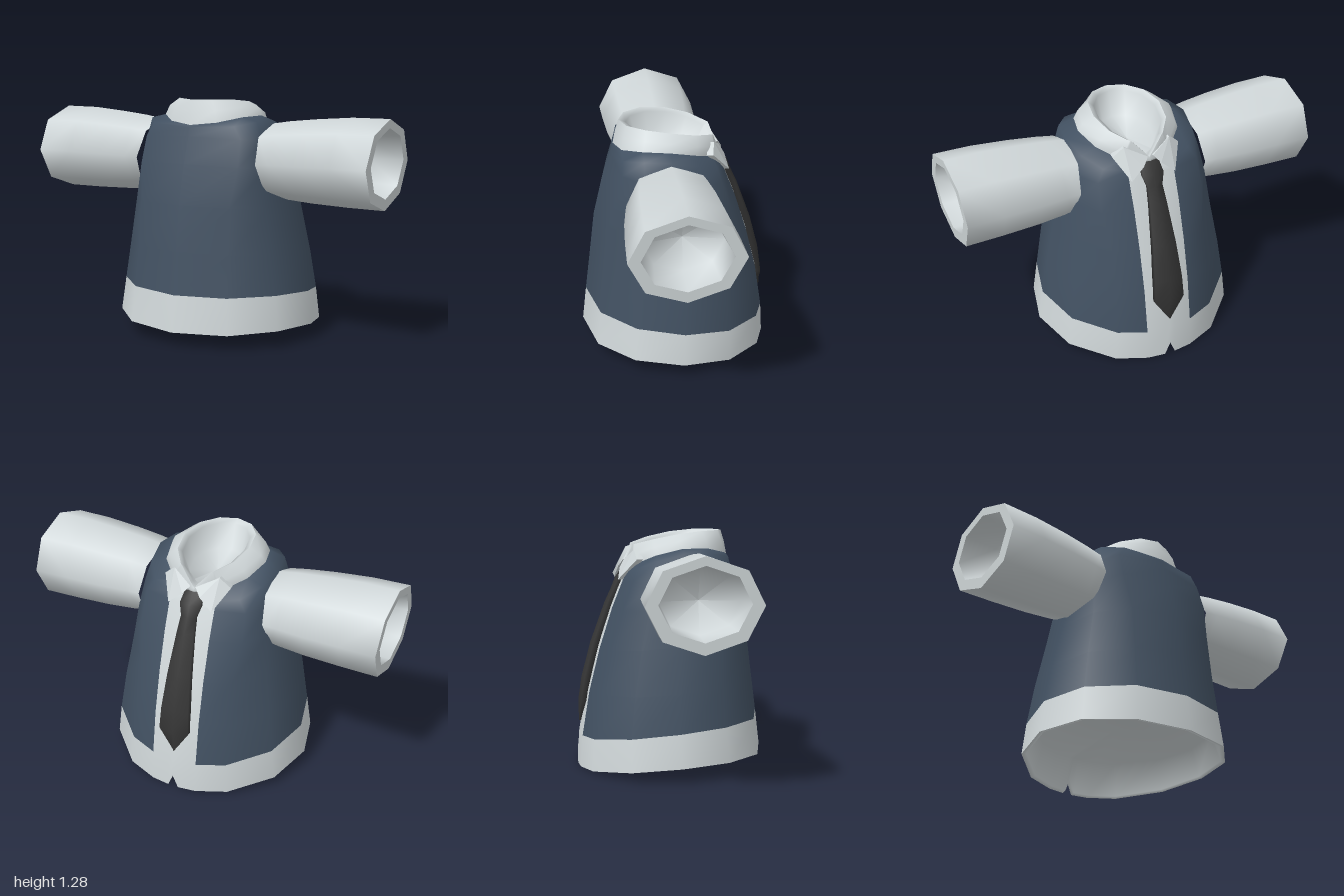
import * as THREE from 'three';
import { ConvexGeometry } from 'three/addons/geometries/ConvexGeometry.js';

const material = (name, color, side = THREE.FrontSide) =>
  Object.assign(new THREE.MeshStandardMaterial({ color, side }), { name });

// Skin closed rings of points; pick(row, column) chooses the material index.
function loft(rings, pick = () => 0, flip = false) {
  const n = rings[0].length, lists = [[], []], geo = new THREE.BufferGeometry();
  for (let i = 0; i < rings.length - 1; i++) {
    for (let j = 0; j < n; j++) {
      const a = i * n + j, b = i * n + (j + 1) % n, c = b + n, d = a + n;
      lists[pick(i, j)].push(...(flip ? [a, c, b, a, d, c] : [a, b, c, a, c, d]));
    }
  }
  geo.setAttribute('position', new THREE.Float32BufferAttribute(rings.flat(2), 3));
  geo.setIndex(lists.flat());
  geo.addGroup(0, lists[0].length, 0);
  if (lists[1].length) geo.addGroup(lists[0].length, lists[1].length, 1);
  geo.computeVertexNormals();
  return geo;
}

// Torso ring: half width, z at back and opening, y at back, side and opening,
// then a power below 1 for squarer sides. The notches shift the opening's middle.
function torsoRing([w, zb, zf, yb, ys, yf, power = 1], notch = 0, sideNotch = 0) {
  const half = [0, 1, 2, 3, 4, 5].map((k) => k * Math.PI / 6);
  const limit = (x, share) =>
    Math.PI - Math.asin(Math.min(x / Math.max(w, 1e-3), share) ** (1 / power));
  half.push(limit(0.13, 0.46), limit(0.03, 0.12), Math.PI);
  const angles = [...half, ...half.slice(1, -1).reverse().map((a) => -a)];
  return angles.map((a, k) => {
    const c = Math.cos(a), s = Math.sin(a);
    const shift = k === 8 ? notch : k === 7 || k === 9 ? sideNotch : 0;
    const y = ys + (yb - yf) / 2 * c + ((yb + yf) / 2 - ys) * c * c;
    return [w * Math.sign(s) * Math.abs(s) ** power, y + shift, (zb + zf) / 2 + (zb - zf) / 2 * c];
  });
}

// Octagonal sleeve ring; lean tilts its plane so the underside sits further in or out.
function sleeveRing(side, [x, ry, rz, cy, lean = 0.04]) {
  return Array.from({ length: 8 }, (_, k) => {
    const t = k * Math.PI / 4, y = cy + ry * Math.cos(t);
    return [side * (x + (y - 1.2) * lean), y, 0.045 + rz * Math.sin(t)];
  });
}

export function createModel() {
  const group = new THREE.Group();
  const white = material('shirt white', 0xd0d7d9);
  const navy = material('vest navy', 0x425162);
  const black = material('tie black', 0x353535, THREE.DoubleSide);
  const add = (name, geo, mat) => {
    const mesh = new THREE.Mesh(geo, mat);
    mesh.name = name;
    group.add(mesh);
  };

  // Shirt and vest, with a white strip down the opening
  const hem = [0.56, 0.51, -0.51, 0.08, 0.085, 0.003, 0.92];
  const torso = [
    [0.535, 0.487, -0.5, 0.275, 0.26, 0.175, 0.92],
    [0.5, 0.458, -0.46, 0.5, 0.46, 0.42, 0.88],
    [0.45, 0.428, -0.4, 0.74, 0.7, 0.65, 0.75],
    [0.41, 0.378, -0.325, 0.95, 0.9, 0.87, 0.48],
    [0.378, 0.33, -0.265, 1.09, 1.04, 1.02, 0.4],
    [0.348, 0.32, -0.245, 1.135, 1.165, 1.06, 0.5],
    [0.275, 0.315, -0.235, 1.148, 1.19, 1.08],
  ].map((r) => torsoRing(r));
  const isVest = (i, j) => (i > 0 && (j < 6 || j > 9) ? 1 : 0);
  add('shirtAndVest', loft([torsoRing(hem, 0.07), ...torso], isVest), [white, navy]);

  // Hem edge and recessed underside
  add('hemLining', loft([
    torsoRing([0, 0, 0, 0.27, 0.27, 0.27]),
    torsoRing([0.49, 0.435, -0.45, 0.25, 0.24, 0.2, 0.92]),
    torsoRing([0.535, 0.485, -0.485, 0.085, 0.09, 0.01, 0.92], 0.07),
    torsoRing(hem, 0.07),
  ]), white);

  // Collar band, rim and neck hollow, dipping to a V at the opening
  const rim = torsoRing([0.19, 0.283, -0.235, 1.278, 1.262, 1.195], -0.09, -0.06);
  add('collar', loft([
    torsoRing([0.275, 0.315, -0.235, 1.148, 1.19, 1.08]),
    torsoRing([0.252, 0.302, -0.245, 1.215, 1.23, 1.13], -0.04, -0.03),
    rim,
  ]), white);
  add('neckLining', loft([
    rim,
    torsoRing([0.162, 0.245, -0.21, 1.262, 1.245, 1.18], -0.08, -0.05),
    torsoRing([0.135, 0.2, -0.155, 1.13, 1.12, 1.08]),
    torsoRing([0, 0.03, 0.03, 1.085, 1.085, 1.085]),
  ]), white);

  for (const side of [1, -1]) {
    const label = side > 0 ? 'left' : 'right';

    // Sleeve, cuff edge and recessed cuff
    const skin = (...rows) => loft(rows.map((r) => sleeveRing(side, r)), () => 0, side < 0);
    const cuff = [1, 0.232, 0.282, 0.968], inner = [1, 0.18, 0.22, 0.975];
    add(label + 'Sleeve', skin([0.335, 0.195, 0.232, 0.955, -0.12], [0.45, 0.207, 0.243, 0.96],
      [0.6, 0.22, 0.262, 0.963], [0.8, 0.231, 0.275, 0.968], cuff), white);
    add(label + 'CuffEdge', skin(cuff, inner), white);
    add(label + 'CuffLining', skin(inner, [0.82, 0.165, 0.2, 0.973],
      [0.77, 0, 0, 0.973]), white);

    // Folded collar point
    const face = [[0.015, 1.12, -0.25], [0.05, 1.08, -0.275], [0.125, 1.02, -0.29],
      [0.19, 1.13, -0.195], [0.13, 1.18, -0.205]];
    const points = face.flatMap(([x, y, z]) => [
      new THREE.Vector3(side * x, y, z), new THREE.Vector3(side * x * 0.97, y, z + 0.035)]);
    add(label + 'CollarPoint', new ConvexGeometry(points), white);
  }

  // Tie: rows of height, depth and half width, with a soft centre ridge
  const rows = [
    [1.09, -0.25, 0.05], [1.03, -0.295, 0.06], [0.97, -0.318, 0.042], [0.89, -0.355, 0.048],
    [0.67, -0.435, 0.066], [0.48, -0.485, 0.08], [0.36, -0.503, 0.085], [0.235, -0.502, 0.004],
  ];
  const tieRings = rows.map(([y, z, w]) => [
    [-w, y, z + 0.045], [-w, y, z + 0.012], [0, y, z], [w, y, z + 0.012], [w, y, z + 0.045]]);
  add('tie', loft(tieRings), black);

  return group;
}
